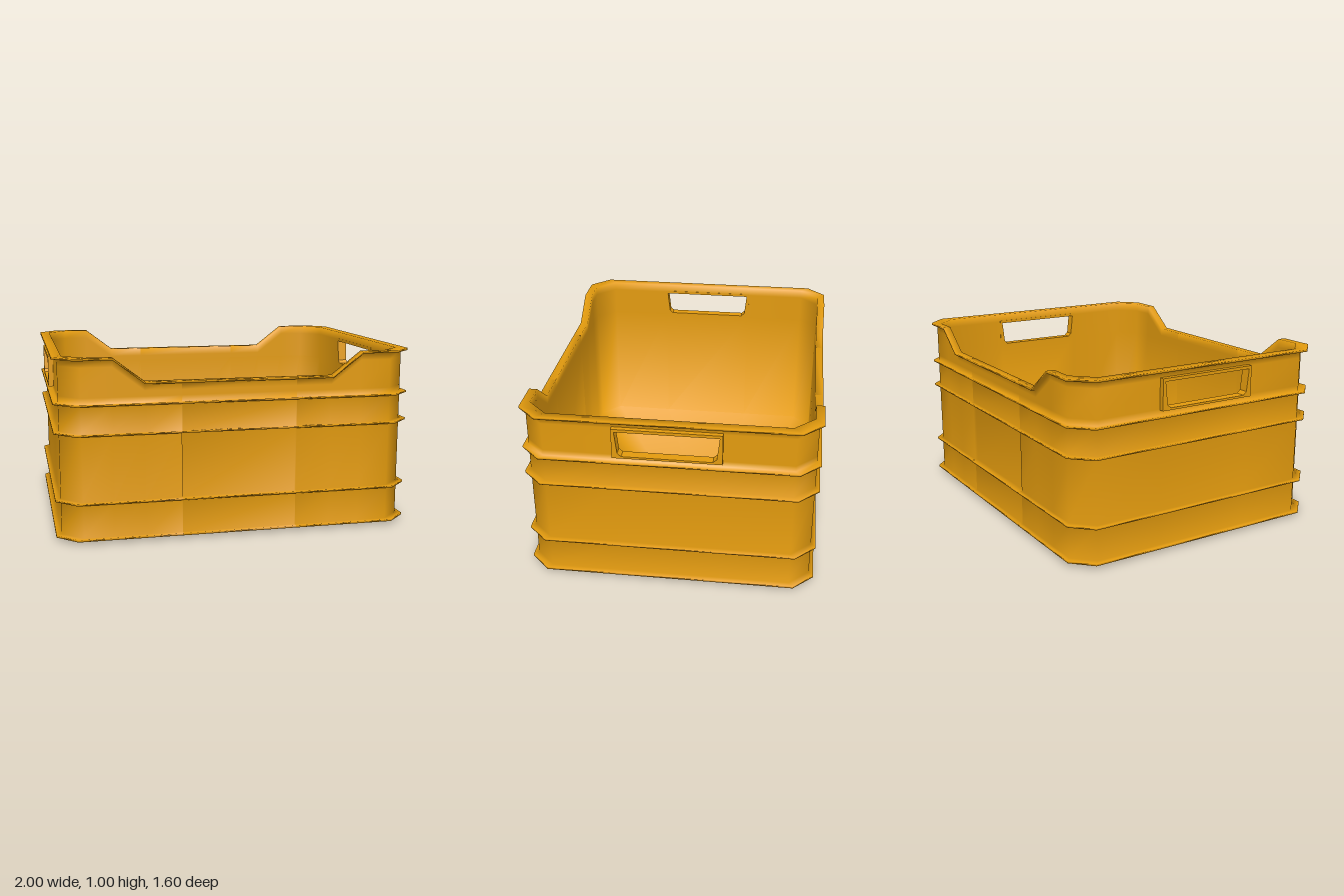
import * as THREE from 'three';

const plastic = new THREE.MeshStandardMaterial({ color: 0xe39b0e });
plastic.name = 'amber plastic';

// Half of the crate outline; the other half is the same turned by 180 degrees.
// Each entry: x, z, part of the low edge, part of the recessed panel.
function halfOutline(o) {
  const a = 0.97 + o, b = 0.775 + o * 0.83, c = 0.11;
  return [
    [a, -0.28], [a, 0.28], [a, b - c], [a - c, b],
    [0.69, b], [0.52, b, 1], [0.321, b, 1], [0.319, b, 1, 1],
    [-0.319, b, 1, 1], [-0.321, b, 1], [-0.52, b, 1], [-0.69, b],
    [c - a, b], [-a, b - c],
  ];
}

// One closed ring of points at a given outward offset and height
function ring(o, y, recessed) {
  const half = halfOutline(o).map(([x, z, low, panel]) => [
    x,
    low && y > 0.9 ? y - 0.13 : y,
    panel && recessed ? z - 0.015 : z,
  ]);
  return [...half, ...half.map(([x, y2, z]) => [-x, y2, -z])];
}

// Profile of the wall: up the outside, over the rim and down the inside
function wallProfile() {
  const rows = [[-0.035, 0], [0.03, 0.018], [0.03, 0.03], [0, 0.03]];
  for (const y of [0.222, 0.593, 0.752]) { // thin flanges
    rows.push([0, y - 0.005, y === 0.593], [0.03, y - 0.005], [0.03, y + 0.005], [0, y + 0.005, y === 0.222]);
  }
  rows.push([0, 0.79], [0, 0.95], [0, 0.988], [0.03, 0.988], [0.03, 1]);
  rows.push([-0.025, 1], [-0.025, 0.95], [-0.025, 0.79], [-0.025, 0.02]);
  return rows;
}

function shellGeometry() {
  const rows = wallProfile();
  const rings = rows.map((r) => ring(...r));
  const n = rings[0].length, last = (rows.length - 1) * n;
  const index = [];
  for (let r = 0; r < rows.length - 1; r++) {
    const atHandle = Math.min(rows[r][1], rows[r + 1][1]) === 0.79
      && Math.max(rows[r][1], rows[r + 1][1]) === 0.95;
    for (let i = 0; i < n; i++) {
      if (atHandle && i % (n / 2) === 0) continue; // handle opening
      const a = r * n + i, b = r * n + (i + 1) % n;
      index.push(a, a + n, b, b, a + n, b + n);
    }
  }
  // underside and inner floor
  for (let i = 1; i < n - 1; i++) {
    index.push(0, i, i + 1, last, last + i + 1, last + i);
  }
  const g = new THREE.BufferGeometry();
  g.setAttribute('position', new THREE.Float32BufferAttribute(rings.flat(2), 3));
  g.setIndex(index);
  g.computeVertexNormals();
  return g;
}

// Raised surround of a grip hole, facing +x
function handleGeometry() {
  const outline = (pts) => pts.map(([x, y]) => new THREE.Vector2(x, y));
  const shape = new THREE.Shape(outline([[-0.29, 0.785], [0.29, 0.785], [0.29, 0.957], [-0.29, 0.957]]));
  shape.holes.push(new THREE.Path(outline([
    [-0.24, 0.797], [-0.26, 0.815], [-0.274, 0.94], [0.274, 0.94], [0.26, 0.815], [0.24, 0.797],
  ])));
  const g = new THREE.ExtrudeGeometry(shape, { depth: 0.055, bevelEnabled: false });
  return g.rotateY(Math.PI / 2).translate(0.943, 0, 0);
}

export function createModel() {
  const crate = new THREE.Group();
  crate.name = 'stackingCrate';

  const shell = new THREE.Mesh(shellGeometry(), plastic);
  shell.name = 'crateShell';
  crate.add(shell);

  const grip = handleGeometry();
  for (const side of ['left', 'right']) {
    const handle = new THREE.Mesh(grip, plastic);
    handle.name = side + 'HandleFrame';
    handle.rotation.y = side === 'left' ? 0 : Math.PI;
    crate.add(handle);
  }
  return crate;
}
